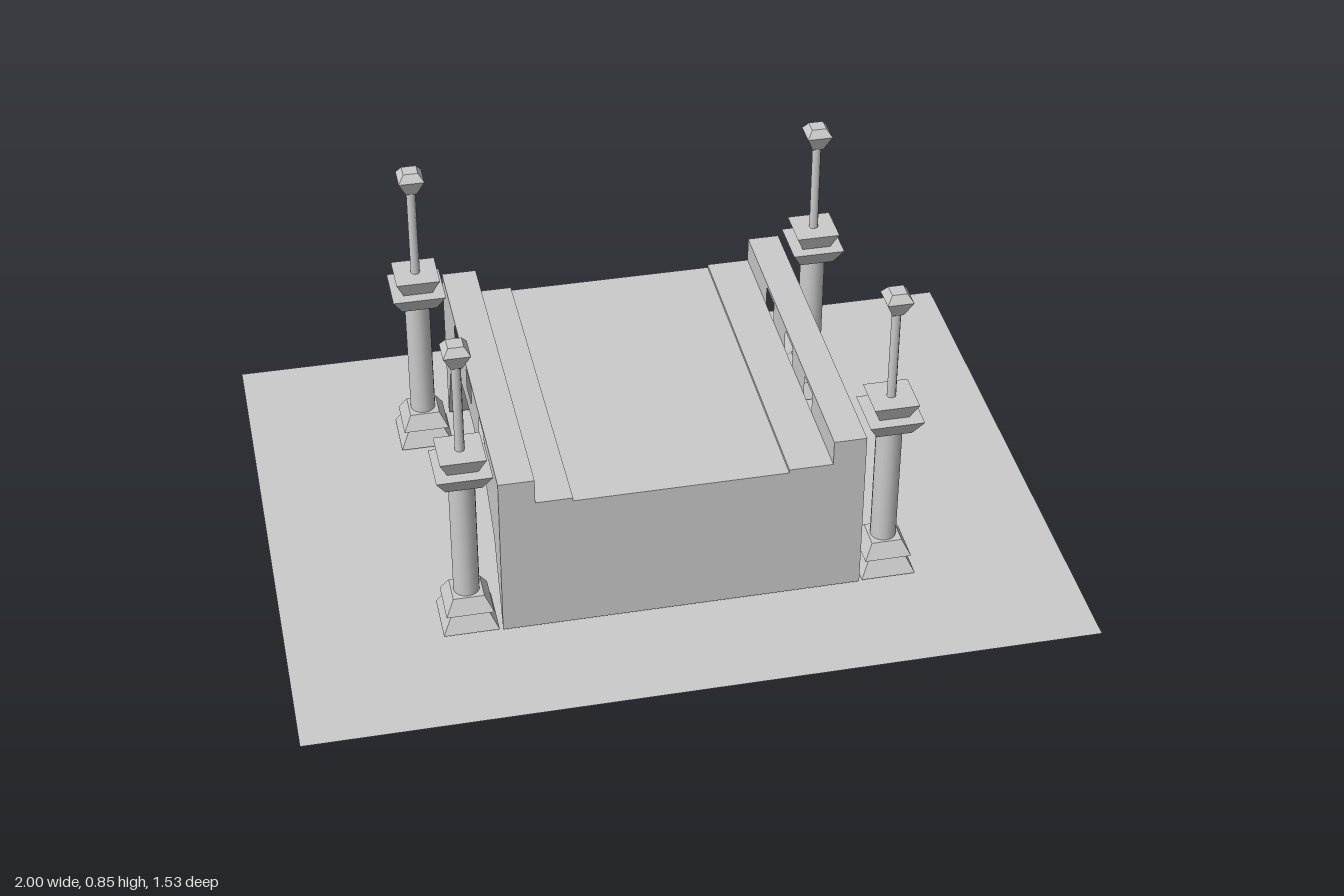
import * as THREE from 'three';

const mat = new THREE.MeshStandardMaterial({ color: 0xcccccc, flatShading: true });
const smooth = new THREE.MeshStandardMaterial({ color: 0xcccccc });
const thin = new THREE.MeshStandardMaterial({ color: 0xcccccc, side: THREE.DoubleSide });

function add(parent, name, geometry, material = mat) {
  const mesh = new THREE.Mesh(geometry, material);
  mesh.name = name;
  parent.add(mesh);
  return mesh;
}

// Square frustum between two heights, given half widths
function frustum(parent, name, y0, half0, y1, half1) {
  const g = new THREE.CylinderGeometry(half1 * Math.SQRT2, half0 * Math.SQRT2, y1 - y0, 4);
  g.rotateY(Math.PI / 4).translate(0, (y0 + y1) / 2, 0);
  add(parent, name, g);
}

// One lengthwise strip of the bridge: arch cut below, optional parapet openings
function bridgeStrip(parent, name, x0, x1, top, openings) {
  const half = [[0.458, 0.01], [0.36, 0.23], [0.26, 0.30], [0.155, 0.333], [0.05, 0.345]];
  const arch = [...half, ...half.map(([z, y]) => [-z, y]).reverse()];
  const outline = [[-0.458, top], [0.458, top], ...arch];
  const shape = new THREE.Shape(outline.map(([z, y]) => new THREE.Vector2(z, y)));
  if (openings) {
    for (const c of [-0.202, 0, 0.202]) {
      const hole = new THREE.Path();
      hole.moveTo(c - 0.039, 0.4);
      hole.lineTo(c - 0.039, 0.457);
      hole.lineTo(c + 0.039, 0.457);
      hole.lineTo(c + 0.039, 0.4);
      hole.closePath();
      shape.holes.push(hole);
    }
  }
  const g = new THREE.ExtrudeGeometry(shape, { depth: x1 - x0, bevelEnabled: false });
  g.rotateY(Math.PI / 2).translate(x0, 0, 0);
  add(parent, name, g);
}

function lampPillar(x, z) {
  const p = new THREE.Group();
  p.name = 'lampPillar';
  // Stepped foot
  frustum(p, 'lowerFoot', 0.01, 0.07, 0.055, 0.047);
  frustum(p, 'upperFoot', 0.06, 0.06, 0.1, 0.039);
  // Round shaft, running down through the foot
  const shaft = new THREE.CylinderGeometry(0.033, 0.033, 0.43, 16);
  add(p, 'shaft', shaft.translate(0, 0.235, 0), smooth);
  // Flared capital
  frustum(p, 'lowerCapital', 0.445, 0.045, 0.49, 0.069);
  frustum(p, 'upperCapital', 0.49, 0.038, 0.535, 0.057);
  // Lamp post and lantern
  const post = new THREE.CylinderGeometry(0.012, 0.012, 0.26, 8);
  add(p, 'lampPost', post.translate(0, 0.66, 0), smooth);
  frustum(p, 'lantern', 0.783, 0.014, 0.827, 0.033);
  frustum(p, 'lanternCap', 0.827, 0.033, 0.848, 0.019);
  p.position.set(x, 0, z);
  return p;
}

export function createModel() {
  const model = new THREE.Group();
  model.name = 'archBridge';

  // Flat ground slab
  add(model, 'groundPlane', new THREE.PlaneGeometry(2, 1.526).rotateX(-Math.PI / 2), thin);

  // Bridge body, from the right parapet across to the left one
  const bridge = new THREE.Group();
  bridge.name = 'bridge';
  bridgeStrip(bridge, 'rightParapet', -0.46, -0.37, 0.468, true);
  bridgeStrip(bridge, 'rightWalkway', -0.37, -0.277, 0.4, false);
  bridgeStrip(bridge, 'roadway', -0.277, 0.262, 0.391, false);
  bridgeStrip(bridge, 'leftWalkway', 0.262, 0.373, 0.4, false);
  bridgeStrip(bridge, 'leftParapet', 0.373, 0.456, 0.468, true);
  model.add(bridge);

  // Lamp pillars at the four corners
  for (const x of [-0.538, 0.534])
    for (const z of [-0.385, 0.385]) model.add(lampPillar(x, z));

  return model;
}
